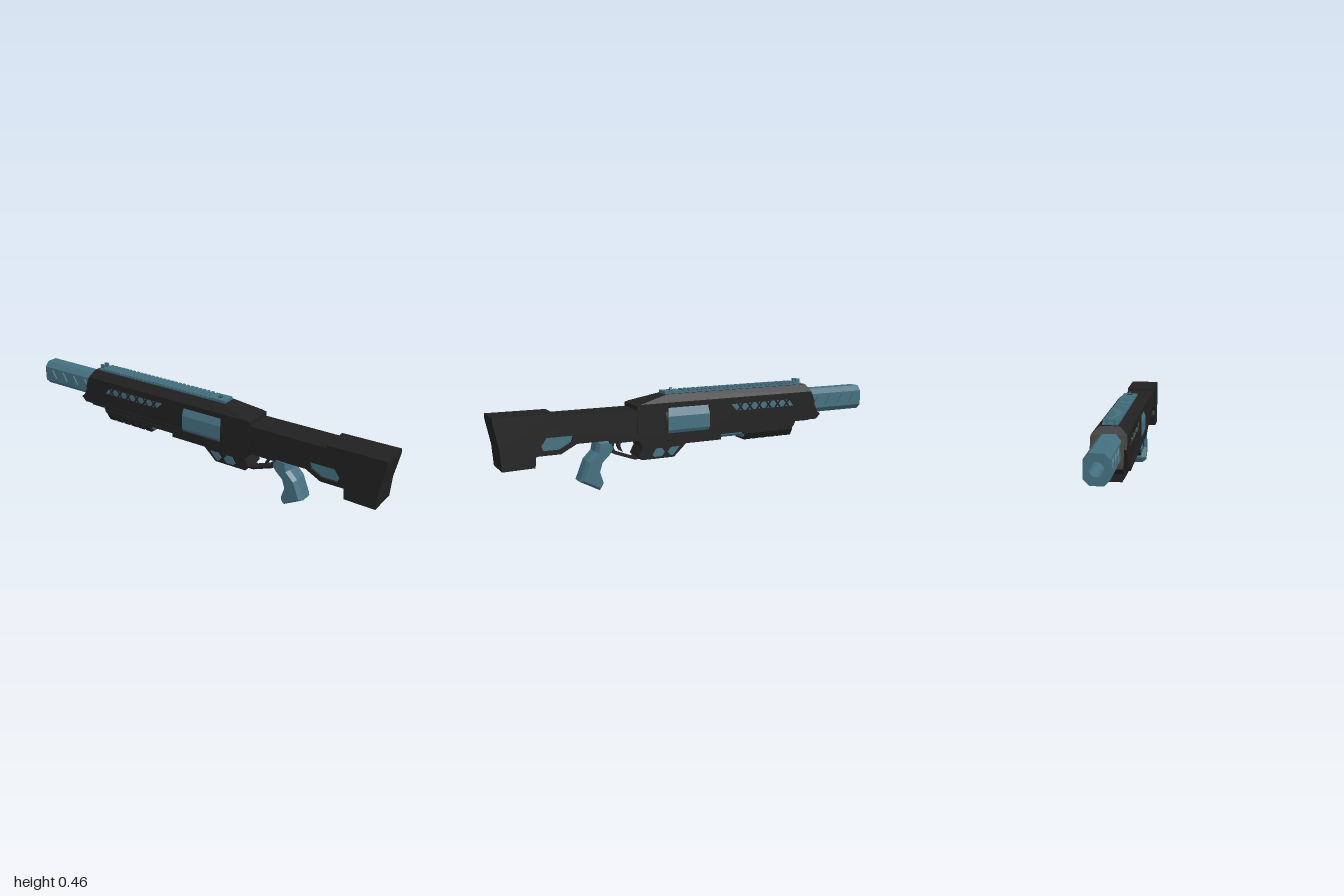
import * as THREE from 'three';

export function createModel() {
  const model = new THREE.Group();
  model.name = 'longGun';
  const black = new THREE.MeshStandardMaterial({ color: 0x212121 });
  black.name = 'matte black';
  const teal = new THREE.MeshStandardMaterial({ color: 0x457080 });
  teal.name = 'steel teal';

  const vec = (pts) => pts.map(([a, b]) => new THREE.Vector2(a, b));
  const makeShape = (pts, holes) => {
    const s = new THREE.Shape(vec(pts));
    holes.forEach((h) => s.holes.push(new THREE.Path(vec(h))));
    return s;
  };
  const add = (name, geo, mat) => {
    const mesh = new THREE.Mesh(geo, mat);
    mesh.name = name;
    model.add(mesh);
    return mesh;
  };
  // Side outline (x, y) extruded from z0 to z1
  const plate = (name, mat, pts, z0, z1, holes = []) => {
    const geo = new THREE.ExtrudeGeometry(makeShape(pts, holes), { depth: z1 - z0, bevelEnabled: false });
    geo.translate(0, 0, z0);
    return add(name, geo, mat);
  };
  const slab = (name, mat, pts, half, holes = []) => plate(name, mat, pts, -half, half, holes);
  // Cross-section, given as its +z half (z, y), mirrored and extruded along x
  const prism = (name, mat, halfPts, x0, x1, holes = []) => {
    const pts = [...halfPts, ...halfPts.slice().reverse().map(([z, y]) => [-z, y])];
    const geo = new THREE.ExtrudeGeometry(makeShape(pts, holes), { depth: x1 - x0, bevelEnabled: false });
    geo.rotateY(Math.PI / 2);
    geo.translate(x0, 0, 0);
    return add(name, geo, mat);
  };
  const box = (name, mat, x0, x1, y0, y1, z0, z1) => {
    const geo = new THREE.BoxGeometry(x1 - x0, y1 - y0, z1 - z0);
    geo.translate((x0 + x1) / 2, (y0 + y1) / 2, (z0 + z1) / 2);
    return add(name, geo, mat);
  };

  // Barrel shroud: bored octagon with triangular side pockets
  const bore = Array.from({ length: 20 }, (_, i) => {
    const a = (i / 20) * Math.PI * 2;
    return [0.029 * Math.cos(a), 0.343 + 0.029 * Math.sin(a)];
  });
  const octagon = [[0.028, 0.405], [0.052, 0.38], [0.052, 0.305], [0.028, 0.28]];
  const ribbed = [[0.028, 0.405], [0.052, 0.38], [0.042, 0.38], [0.042, 0.305], [0.052, 0.305], [0.028, 0.28]];
  prism('muzzle', teal, octagon, -1, -0.97, [bore]);
  prism('barrel', teal, ribbed, -0.97, -0.6, [bore]);
  const pockets = [0, 1, 2, 3].map((i) => {
    const x = -0.955 + i * 0.078;
    return [[x, 0.37], [x + 0.06, 0.37], [x + 0.03, 0.318]];
  });
  const barrelSide = [[-0.97, 0.305], [-0.6, 0.305], [-0.6, 0.38], [-0.97, 0.38]];
  plate('barrelSideLeft', teal, barrelSide, 0.042, 0.052, pockets);
  plate('barrelSideRight', teal, barrelSide, -0.052, -0.042, pockets);

  // Main body with the vent and drum openings
  const vent = [[-0.55, 0.332], [-0.21, 0.332], [-0.175, 0.368], [-0.522, 0.368]];
  const drumWindow = [[-0.055, 0.25], [0.17, 0.25], [0.17, 0.375], [-0.055, 0.375]];
  slab('body', black, [
    [-0.657, 0.4], [-0.68, 0.345], [-0.64, 0.25], [-0.56, 0.25], [-0.545, 0.222], [0.25, 0.222],
    [0.33, 0.245], [0.33, 0.396], [0.31, 0.4],
  ], 0.077, [vent, drumWindow]);
  slab('frontLip', black, [
    [-0.64, 0.4], [-0.657, 0.4], [-0.705, 0.29], [-0.725, 0.275], [-0.7, 0.25], [-0.6, 0.25],
  ], 0.065);
  // Body roof, its sides leaning inwards towards the top
  const roof = slab('bodyRoof', black, [[-0.657, 0.4], [0.315, 0.4], [0.16, 0.435], [-0.64, 0.435]], 0.077);
  const pos = roof.geometry.attributes.position;
  for (let i = 0; i < pos.count; i++) {
    pos.setZ(i, Math.sign(pos.getZ(i)) * (0.077 - (pos.getY(i) - 0.4) * 0.97));
  }
  roof.geometry.computeVertexNormals();

  // Vent lattice over a recessed insert
  slab('ventInsert', teal, [[-0.56, 0.325], [-0.16, 0.325], [-0.16, 0.375], [-0.56, 0.375]], 0.07);
  for (let i = 0; i < 6; i++) {
    const x = -0.525 + i * 0.055;
    slab('ventStrut', black, [[x, 0.332], [x + 0.009, 0.332], [x + 0.037, 0.368], [x + 0.028, 0.368]], 0.0755);
    slab('ventStrut', black, [[x + 0.028, 0.332], [x + 0.037, 0.332], [x + 0.009, 0.368], [x, 0.368]], 0.0745);
  }

  // Thin trim strips along the lower sides
  for (const s of [-1, 1]) {
    for (const y of [0.232, 0.254]) {
      box('sideTrim', black, -0.55, -0.07, y, y + 0.009, s > 0 ? 0.076 : -0.081, s > 0 ? 0.081 : -0.076);
    }
  }

  // Drum and its oval rear disc
  prism('drum', teal, [[0.045, 0.405], [0.0765, 0.332], [0.0765, 0.266], [0.055, 0.23]], -0.055, 0.172);
  const disc = new THREE.CylinderGeometry(0.083, 0.083, 0.012, 40);
  disc.rotateZ(Math.PI / 2);
  disc.scale(1, 1.38, 1);
  disc.translate(0.178, 0.312, 0);
  add('drumDisc', disc, black);

  // Top rail, teeth and sights
  box('railBase', teal, -0.62, 0.165, 0.433, 0.442, -0.034, 0.034);
  for (let i = 0; i < 27; i++) {
    const x = -0.59 + i * 0.0245;
    box('railTooth', teal, x, x + 0.015, 0.441, 0.449, -0.036, 0.036);
  }
  box('rearSightBase', teal, 0.075, 0.165, 0.441, 0.448, -0.034, 0.034);
  box('rearSightSlot', black, 0.113, 0.128, 0.447, 0.4495, -0.012, 0.012);
  for (const s of [-1, 1]) {
    box('frontSightPost', teal, -0.62, -0.598, 0.44, 0.462, s * 0.015 - 0.006, s * 0.015 + 0.006);
  }
  prism('rearSightBlade', teal, [[0.002, 0.462], [0.007, 0.445]], 0.115, 0.126);

  // Fore grip: teal core showing between black ribs
  prism('foreGripCore', teal, [[0.052, 0.24], [0.052, 0.215], [0.035, 0.186]], -0.545, -0.265);
  prism('foreGripRod', teal, [[0.04, 0.24], [0.04, 0.208], [0.03, 0.197]], -0.27, -0.12);
  for (let i = 0; i < 6; i++) {
    const x = -0.552 + i * 0.0485;
    prism('foreGripRib', black, [[0.062, 0.24], [0.062, 0.208], [0.042, 0.174]], x, x + 0.037);
  }
  box('foreGripSpine', black, -0.55, -0.26, 0.208, 0.23, -0.061, 0.061);

  // Lower receiver with small inset plates
  slab('lowerReceiver', black, [
    [-0.13, 0.235], [-0.13, 0.19], [0.065, 0.19], [0.13, 0.13], [0.3, 0.13], [0.315, 0.15],
    [0.295, 0.19], [0.315, 0.225], [0.46, 0.225], [0.46, 0.25], [0, 0.25],
  ], 0.055);
  const insets = [
    [[0.1, 0.18], [0.145, 0.18], [0.165, 0.16], [0.15, 0.14], [0.137, 0.14]],
    [[0.18, 0.16], [0.195, 0.18], [0.225, 0.18], [0.245, 0.15], [0.235, 0.14], [0.195, 0.14]],
  ];
  insets.forEach((p) => {
    plate('receiverInsetLeft', teal, p, 0.053, 0.058);
    plate('receiverInsetRight', teal, p, -0.058, -0.053);
  });

  // Trigger guard and trigger
  slab('triggerGuard', black, [
    [0.29, 0.13], [0.325, 0.13], [0.43, 0.168], [0.45, 0.19], [0.45, 0.235], [0.425, 0.235],
    [0.43, 0.2], [0.42, 0.178], [0.325, 0.142], [0.29, 0.15],
  ], 0.024);
  slab('trigger', black, [
    [0.385, 0.23], [0.405, 0.23], [0.405, 0.2], [0.395, 0.18], [0.378, 0.17], [0.39, 0.198],
  ], 0.01);

  // Pistol grip with bevelled sides
  const grip = new THREE.ExtrudeGeometry(makeShape([
    [0.435, 0.19], [0.445, 0.24], [0.515, 0.24], [0.525, 0.19], [0.565, 0.15], [0.603, 0.055],
    [0.505, 0.003], [0.485, 0.035], [0.502, 0.09], [0.488, 0.135], [0.455, 0.165],
  ], []), { depth: 0.06, bevelThickness: 0.022, bevelSize: 0.012, bevelOffset: -0.012, bevelSegments: 1 });
  grip.translate(0, 0, -0.03);
  add('pistolGrip', grip, teal);

  // Stock with a recessed side window, and the butt
  const stockWindow = [[0.64, 0.285], [0.765, 0.285], [0.79, 0.25], [0.78, 0.225], [0.705, 0.225], [0.65, 0.255]];
  slab('stock', black, [
    [0.3, 0.376], [0.3, 0.245], [0.625, 0.245], [0.7, 0.205], [0.84, 0.205], [0.84, 0.376],
  ], 0.074, [stockWindow]);
  slab('stockInset', teal, [[0.63, 0.3], [0.63, 0.25], [0.7, 0.215], [0.8, 0.215], [0.8, 0.3]], 0.063);
  slab('butt', black, [
    [0.72, 0.39], [0.72, 0.372], [0.8, 0.3], [0.815, 0.205], [0.82, 0.155], [0.968, 0.152],
    [0.975, 0.25], [1, 0.37], [1, 0.392],
  ], 0.077);

  return model;
}
